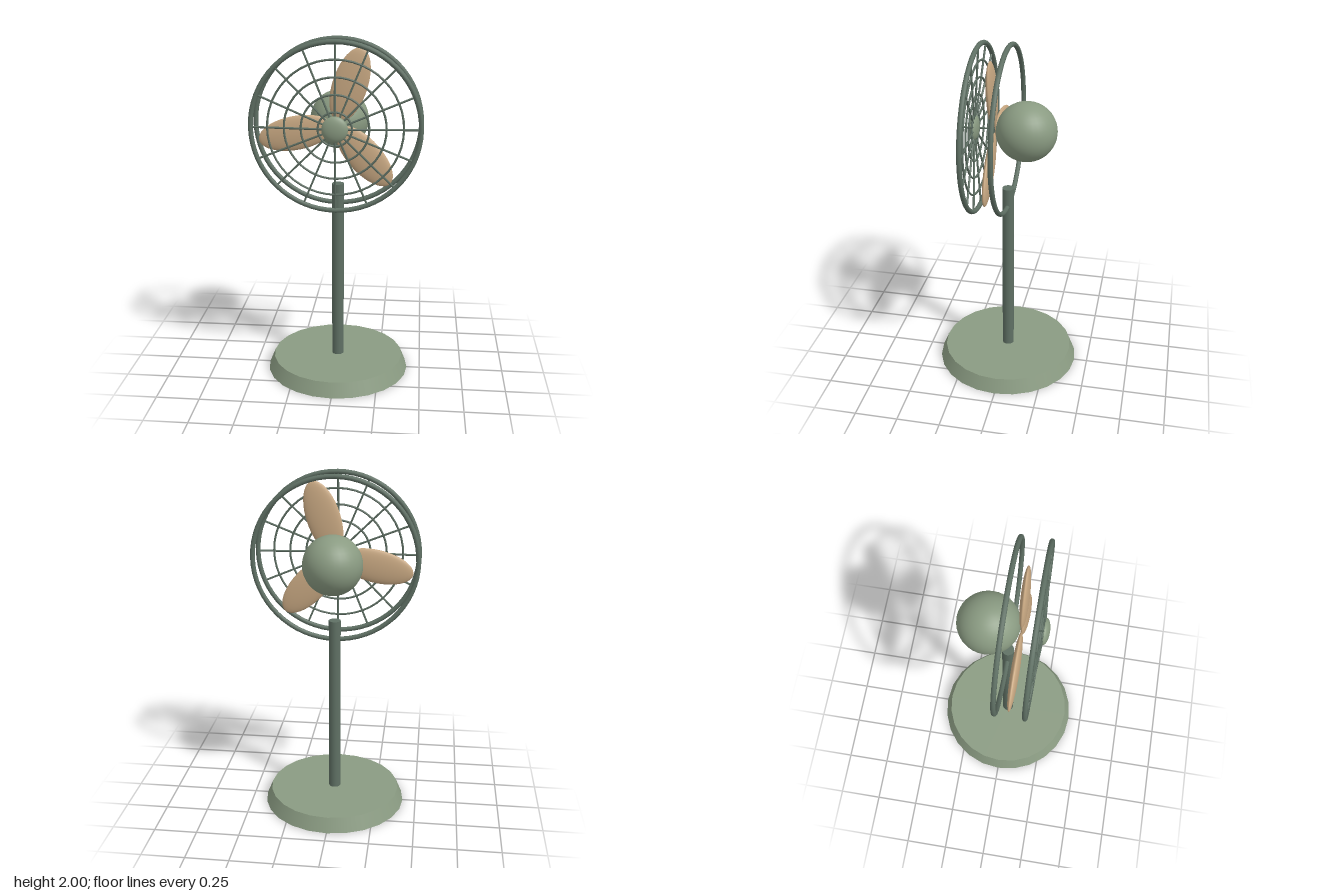
import * as THREE from 'three';

const paint = (color) => new THREE.MeshStandardMaterial({ color });
const green = paint(0x8a9b82);
const darkGreen = paint(0x5f7064);
const tan = paint(0xc8a882);

const HEAD_Y = 1.517;   // height of the fan axis
const RING_R = 0.47;    // radius of the cage rims
const FRONT_Z = 0.163;  // plane of the front rim
const DOME = 0.03;      // how far the grille bulges forward at its centre

function add(parent, name, geometry, material, x = 0, y = 0, z = 0) {
  const mesh = new THREE.Mesh(geometry, material);
  mesh.name = name;
  mesh.position.set(x, y, z);
  parent.add(mesh);
  return mesh;
}

// Ellipsoid with the given half-sizes
const ellipsoid = (rx, ry, rz) => new THREE.SphereGeometry(1, 32, 20).scale(rx, ry, rz);

// Depth of the grille at distance r from the axis
const grilleZ = (r) => FRONT_Z + DOME * (1 - r / RING_R);

export function createModel() {
  const fan = new THREE.Group();
  fan.name = 'pedestalFan';

  // Stand
  add(fan, 'base', new THREE.CylinderGeometry(0.388, 0.422, 0.083, 24), green, 0, 0.0415, 0);
  add(fan, 'pole', new THREE.CylinderGeometry(0.035, 0.035, 1.1, 16), darkGreen, 0, 0.61, 0);

  // Head, with its origin on the fan axis
  const head = new THREE.Group();
  head.name = 'head';
  head.position.y = HEAD_Y;
  fan.add(head);
  add(head, 'motor', ellipsoid(0.169, 0.169, 0.172), green, 0, 0, -0.104);

  // Three flat oval blades
  const blades = new THREE.Group();
  blades.name = 'blades';
  blades.position.z = 0.075;
  head.add(blades);
  for (let i = 0; i < 3; i++) {
    const a = THREE.MathUtils.degToRad(72 + i * 120);
    const blade = add(blades, 'blade', ellipsoid(0.214, 0.097, 0.023), tan,
      0.236 * Math.cos(a), 0.236 * Math.sin(a), 0);
    blade.rotation.z = a;
  }

  // Cage: two rims, concentric wires and radial spokes
  const cage = new THREE.Group();
  cage.name = 'cage';
  head.add(cage);
  for (const z of [0, FRONT_Z]) {
    add(cage, 'rim', new THREE.TorusGeometry(RING_R, 0.014, 10, 64), darkGreen, 0, 0, z);
  }
  for (let i = 1; i <= 4; i++) {
    const r = RING_R * i / 5;
    add(cage, 'wireRing', new THREE.TorusGeometry(r, 0.006, 6, 48), darkGreen, 0, 0, grilleZ(r));
  }
  for (let i = 0; i < 16; i++) {
    const a = i * Math.PI / 8;
    const point = (r) => new THREE.Vector3(r * Math.cos(a), r * Math.sin(a), grilleZ(r));
    const path = new THREE.LineCurve3(point(0.02), point(RING_R));
    add(cage, 'spoke', new THREE.TubeGeometry(path, 1, 0.006, 6), darkGreen);
  }

  // Cap where the spokes meet
  add(head, 'frontCap', ellipsoid(0.073, 0.073, 0.028), green, 0, 0, 0.195);

  return fan;
}
